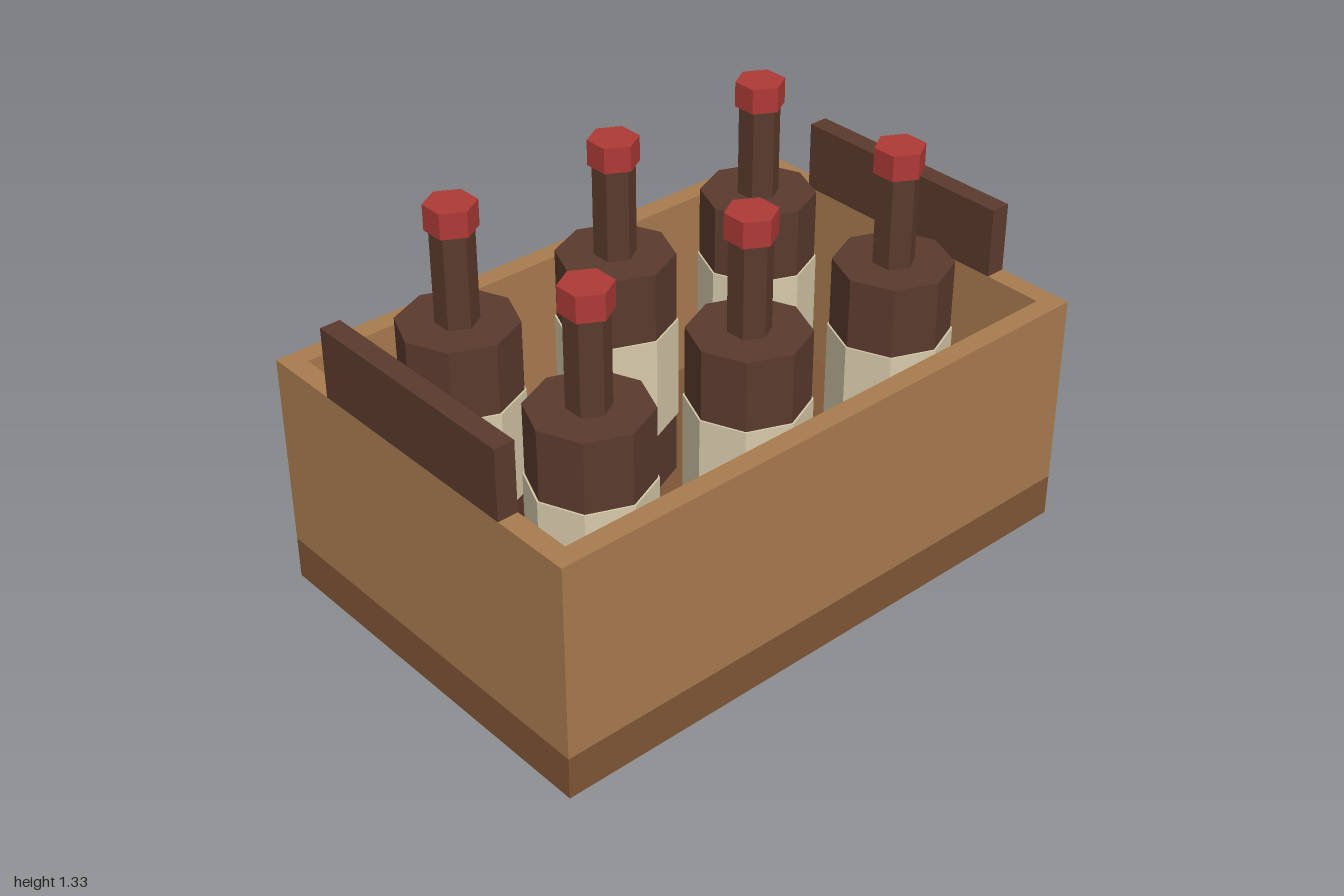
import * as THREE from 'three';

const mat = (name, color, flatShading = false) => {
  const m = new THREE.MeshStandardMaterial({ color, flatShading });
  m.name = name;
  return m;
};

export function createModel() {
  const wood = mat('light wood', 0xa87b4f);
  const darkWood = mat('dark wood', 0x7f5636);
  const glass = mat('brown glass', 0x5a3a2d, true);
  const handleWood = glass;
  const paper = mat('cream label', 0xd6c9aa, true);
  const red = mat('red cap', 0xae3a36, true);

  const model = new THREE.Group();
  model.name = 'bottleCrate';

  const box = (name, w, h, d, x, y, z, material) => {
    const mesh = new THREE.Mesh(new THREE.BoxGeometry(w, h, d), material);
    mesh.name = name;
    mesh.position.set(x, y + h / 2, z);
    model.add(mesh);
  };

  // Crate: base slab, four walls and an upright board at each end
  const W = 2, D = 1.333, T = 0.067, BASE = 0.144, H = 0.8;
  box('crateBase', W, BASE, D, 0, 0, 0, darkWood);
  for (const s of [1, -1]) {
    const side = s > 0 ? 'left' : 'right';
    box(s > 0 ? 'frontWall' : 'backWall', W, H - BASE, T, 0, BASE, s * (D - T) / 2, wood);
    box(side + 'Wall', T, H - BASE, D - 2 * T, s * (W - T) / 2, BASE, 0, wood);
    box(side + 'Handle', T, 0.233, 0.8, s * (W - T) / 2, H, 0, handleWood);
  }

  // Bottle parts: radius, sides, bottom, top
  const parts = [
    ['bottleBody', 0.187, 8, BASE, 0.944, glass],
    ['bottleLabel', 0.193, 8, 0.36, 0.71, paper],
    ['bottleNeck', 0.067, 6, 0.944, 1.25, glass],
    ['bottleCap', 0.08, 6, 1.25, 1.333, red],
  ].map(([name, r, sides, y0, y1, material]) => ({
    name, material, y: (y0 + y1) / 2,
    geometry: new THREE.CylinderGeometry(r, r, y1 - y0, sides),
  }));

  // Six bottles in a 3 by 2 grid
  for (const x of [-0.6, 0, 0.6]) {
    for (const z of [-0.3, 0.3]) {
      const bottle = new THREE.Group();
      bottle.name = 'bottle';
      bottle.position.set(x, 0, z);
      for (const p of parts) {
        const mesh = new THREE.Mesh(p.geometry, p.material);
        mesh.name = p.name;
        mesh.position.y = p.y;
        bottle.add(mesh);
      }
      model.add(bottle);
    }
  }
  return model;
}
